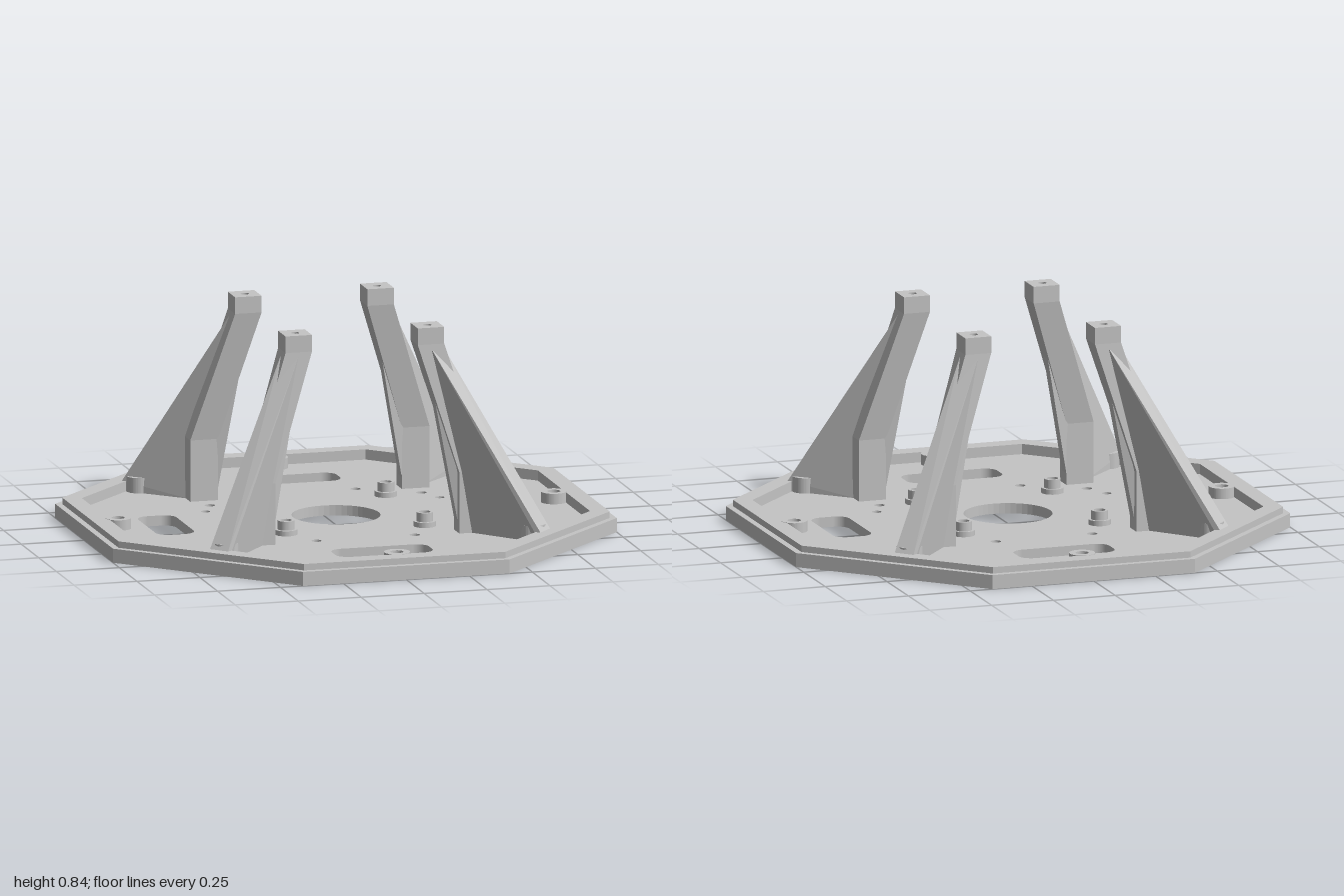
import * as THREE from 'three';
import { ConvexGeometry } from 'three/addons/geometries/ConvexGeometry.js';

const grey = new THREE.MeshStandardMaterial({ color: 0xc4c4c4 });
grey.name = 'grey';

const FLOOR = 0.04;
const SIGNS = [[1, 1], [-1, 1], [-1, -1], [1, -1]];

// Octagon with half width h
function octagon(h, PathType = THREE.Shape) {
  const c = h * 0.41;
  return new PathType([[c, h], [-c, h], [-h, c], [-h, -c], [-c, -h], [c, -h], [h, -c], [h, c]]
    .map(([x, z]) => new THREE.Vector2(x, z)));
}

function circle(x, z, r, PathType = THREE.Path) {
  return new PathType().absarc(x, z, r, 0, Math.PI * 2, false);
}

// Rounded slot centred on (x, z)
function slot(x, z, hx, hz, r = 0.05) {
  const p = new THREE.Path();
  SIGNS.forEach(([sx, sz], i) =>
    p.absarc(x + sx * (hx - r), z + sz * (hz - r), r, i * Math.PI / 2, (i + 1) * Math.PI / 2, false));
  return p.closePath();
}

// Upright extrusion of a plan shape between two heights
function slab(name, shape, holes, y0, y1) {
  shape.holes.push(...holes);
  const g = new THREE.ExtrudeGeometry(shape, { depth: y1 - y0, bevelEnabled: false, curveSegments: 24 });
  g.rotateX(-Math.PI / 2).translate(0, y0, 0);
  const m = new THREE.Mesh(g, grey);
  m.name = name;
  return m;
}

function tube(name, x, z, r, hole, y0, y1) {
  return slab(name, circle(x, -z, r, THREE.Shape), [circle(x, -z, hole)], y0, y1);
}

function hull(name, points, sx, sz) {
  const pts = points.map(([x, y, z]) => new THREE.Vector3(x * sx, y, z * sz));
  const m = new THREE.Mesh(new ConvexGeometry(pts), grey);
  m.name = name;
  return m;
}

// Four corners of a level rectangle
const rect = (x0, x1, z0, z1, y) => [[x0, y, z0], [x1, y, z0], [x1, y, z1], [x0, y, z1]];

function makeLeg(sx, sz) {
  const leg = new THREE.Group();
  leg.name = 'leg';
  const foot = rect(0.365, 0.475, 0.37, 0.445, FLOOR);
  const bend = rect(0.365, 0.475, 0.37, 0.445, 0.28);
  const top = rect(0.21, 0.315, 0.305, 0.41, 0.78);
  leg.add(hull('lowerColumn', [...foot, ...bend], sx, sz));
  leg.add(hull('upperColumn', [...bend, ...top], sx, sz));
  // Thin fillet across the inside of the bend
  leg.add(hull('bendFillet', [
    [0.282, 0.55, 0.35], [0.282, 0.55, 0.4],
    [0.366, 0.08, 0.372], [0.366, 0.08, 0.42],
    [0.4, 0.3, 0.375], [0.4, 0.3, 0.435],
  ], sx, sz));
  // Sloping rib that runs out to the plate corner
  leg.add(hull('rib', [
    [0.47, FLOOR, 0.43], [0.412, FLOOR, 0.44],
    [0.675, FLOOR, 0.625], [0.62, FLOOR, 0.685],
    [0.675, 0.08, 0.625], [0.62, 0.08, 0.685],
    [0.322, 0.76, 0.365], [0.265, 0.76, 0.412], [0.265, 0.76, 0.36],
  ], sx, sz));
  // Drilled square head
  const cx = sx * 0.2625, cz = -sz * 0.3575, h = 0.0525;
  const square = new THREE.Shape(SIGNS.map(([a, b]) => new THREE.Vector2(cx + a * h, cz + b * h)));
  leg.add(slab('head', square, [circle(cx, cz, 0.016)], 0.78, 0.845));
  return leg;
}

// Centre hole, slots and screw holes; bore widens the inner screw holes
function plateHoles(bore) {
  const holes = [circle(0, 0, 0.17)];
  for (const s of [1, -1]) {
    holes.push(slot(0, s * 0.655, 0.193, 0.074), slot(s * 0.675, 0, 0.076, 0.17));
    holes.push(circle(0, s * 0.865, 0.025), circle(s * 0.865, 0, 0.025));
  }
  for (const [sx, sz] of SIGNS) {
    for (const [x, z, r] of [[0.195, 0.42, 0.02], [0.42, 0.29, 0.02], [0.465, 0.19, 0.018 + bore],
      [0.275, 0.275, 0.022 + bore], [0.61, 0.61, 0.025]]) {
      holes.push(circle(sx * x, sz * z, r));
    }
  }
  return holes;
}

export function createModel() {
  const model = new THREE.Group();
  model.name = 'octagonalStand';

  // Floor plate, counterbored from below
  model.add(slab('floorPlateBottom', octagon(1), plateHoles(0.01), 0, 0.02));
  model.add(slab('floorPlateTop', octagon(1), plateHoles(0), 0.02, FLOOR));

  // Stepped rim
  model.add(slab('lowerRim', octagon(1), [octagon(0.905, THREE.Path)], FLOOR, 0.055));
  model.add(slab('upperRim', octagon(0.975), [octagon(0.905, THREE.Path)], 0.055, 0.08));

  // Mounting bosses at the middle of each side
  for (const s of [1, -1]) {
    model.add(tube('sideBoss', s * 0.865, 0, 0.05, 0.025, FLOOR, 0.081));
    model.add(tube('sideBoss', 0, s * 0.865, 0.05, 0.025, FLOOR, 0.081));
  }

  // Legs, inner stepped bosses and corner bosses
  for (const [sx, sz] of SIGNS) {
    model.add(makeLeg(sx, sz));
    model.add(tube('innerBossBase', sx * 0.275, sz * 0.275, 0.043, 0.022, FLOOR, 0.06));
    model.add(tube('innerBossTop', sx * 0.275, sz * 0.275, 0.032, 0.022, 0.06, 0.095));
    model.add(tube('cornerBoss', sx * 0.61, sz * 0.61, 0.05, 0.025, FLOOR, 0.1));
  }
  return model;
}
